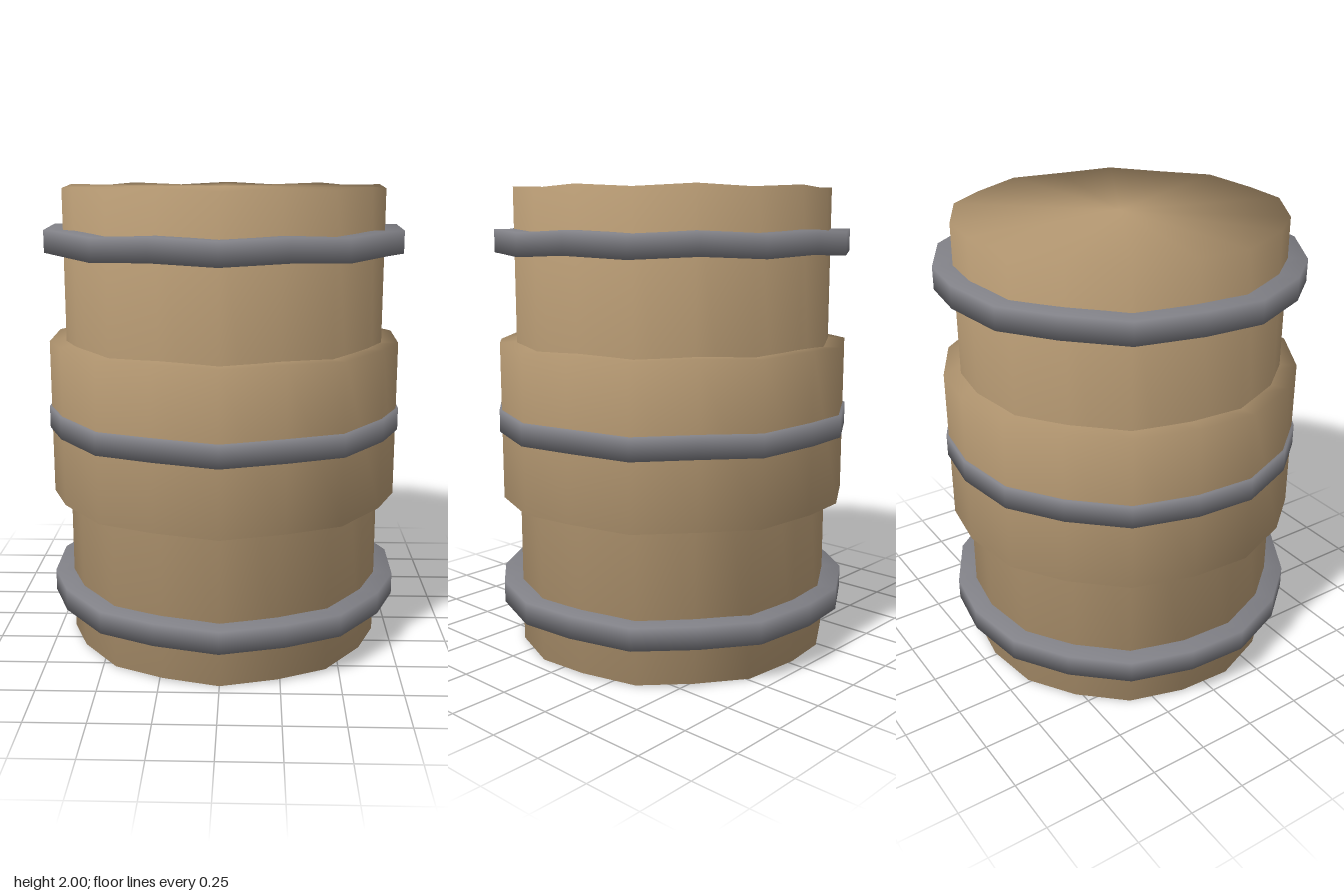
import * as THREE from 'three';

const SIDES = 18;
const WAVE = 0.006; // alternate corners sit slightly high and low

const wood = new THREE.MeshStandardMaterial({ color: 0xb89b74 });
const metal = new THREE.MeshStandardMaterial({ color: 0x808086 });

// Faceted drum with soft-shaded rims; inner = 0 closes the caps
function drum(name, radius, inner, y0, y1, material) {
  const profile = [
    [inner, y0], [radius, y0], [radius, y1], [inner, y1],
  ].map(([r, y]) => new THREE.Vector2(r, y));
  const geometry = new THREE.LatheGeometry(profile, SIDES);
  const pos = geometry.attributes.position;
  for (let i = 0; i < pos.count; i++) {
    const corner = Math.floor(i / profile.length);
    const onAxis = Math.hypot(pos.getX(i), pos.getZ(i)) < 1e-6;
    if (!onAxis) pos.setY(i, pos.getY(i) + (corner % 2 ? WAVE : -WAVE));
  }
  const mesh = new THREE.Mesh(geometry, material);
  mesh.name = name;
  return mesh;
}

export function createModel() {
  const barrel = new THREE.Group();
  barrel.name = 'barrel';

  // Wooden body and its wider middle section
  barrel.add(drum('body', 0.694, 0, 0.006, 1.994, wood));
  barrel.add(drum('middleBand', 0.767, 0.6, 0.665, 1.342, wood));

  // Metal hoops
  const hoops = { lowerHoop: 0.235, middleHoop: 1.005, upperHoop: 1.772 };
  for (const [name, y] of Object.entries(hoops)) {
    barrel.add(drum(name, 0.777, 0.6, y - 0.048, y + 0.048, metal));
  }
  return barrel;
}
